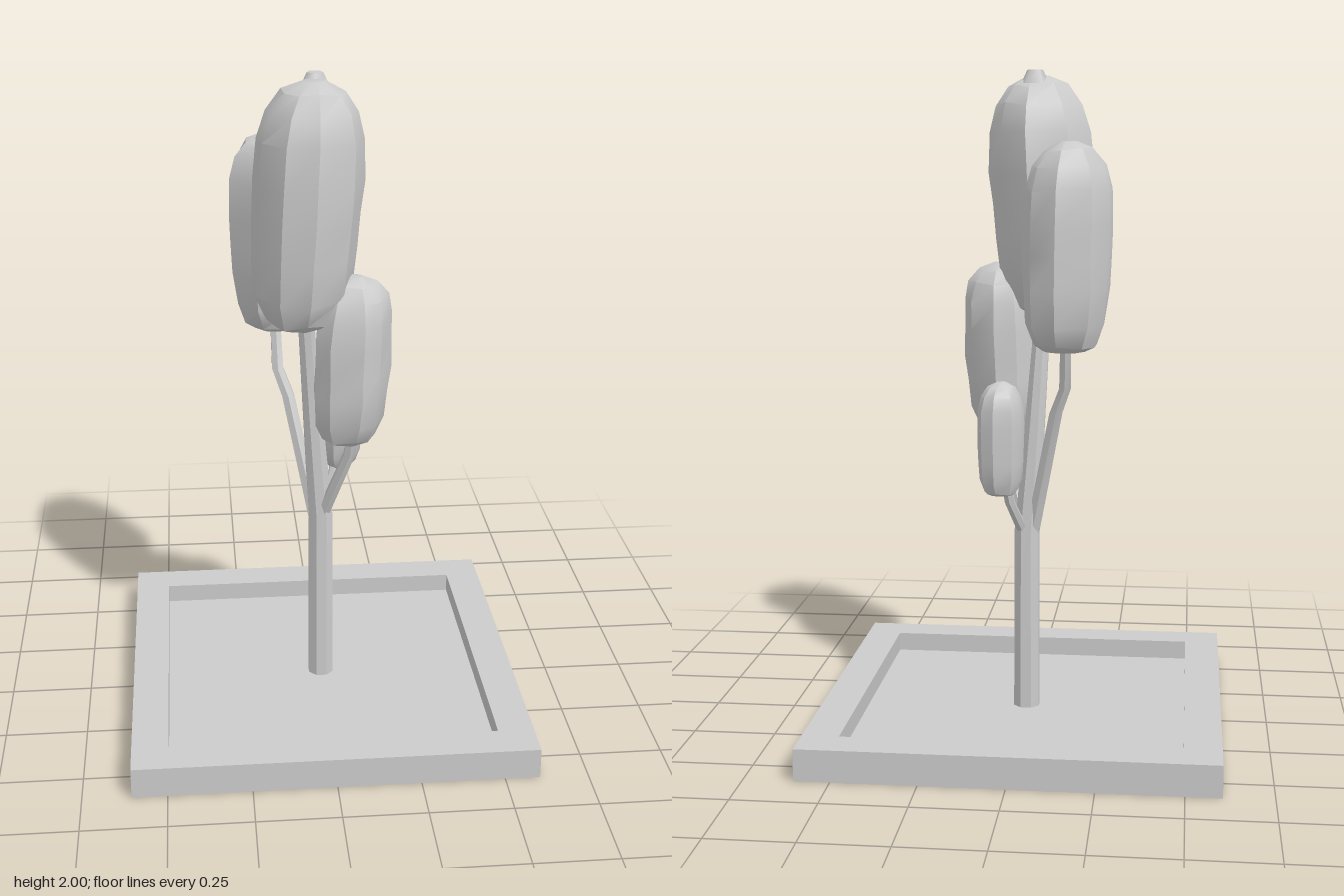
import * as THREE from 'three';
import { toCreasedNormals } from 'three/addons/utils/BufferGeometryUtils.js';

const material = new THREE.MeshStandardMaterial({ color: 0xcccccc, side: THREE.DoubleSide });

// small seeded generator, values in -1..1
function seeded(seed) {
  let s = seed;
  return () => {
    s = (s * 16807) % 2147483647;
    return (s / 2147483647) * 2 - 1;
  };
}

// skin over horizontal rings of points, capped at both ends
function loft(rings, crease) {
  const n = rings[0].length;
  const pos = [];
  const index = [];
  rings.forEach(ring => ring.forEach(p => pos.push(p.x, p.y, p.z)));
  for (let j = 0; j < rings.length - 1; j++) {
    for (let i = 0; i < n; i++) {
      const a = j * n + i, b = j * n + (i + 1) % n;
      index.push(a, a + n, b, b, a + n, b + n);
    }
  }
  const last = (rings.length - 1) * n;
  for (let i = 1; i < n - 1; i++) {
    index.push(0, i, i + 1);
    index.push(last, last + i + 1, last + i);
  }
  const g = new THREE.BufferGeometry();
  g.setAttribute('position', new THREE.Float32BufferAttribute(pos, 3));
  g.setIndex(index);
  return toCreasedNormals(g, crease);
}

// tapered limb through [x, y, z, radius] stations
function limb(stations, sides) {
  return loft(stations.map(([x, y, z, r]) =>
    Array.from({ length: sides }, (_, i) => {
      const a = ((i + 0.5) / sides) * Math.PI * 2;
      return new THREE.Vector3(x + r * Math.cos(a), y, z + r * Math.sin(a));
    })), 0.5);
}

// tall, blunt foliage clump: [height fraction, radius fraction]
const profile = [
  [0, 0.5], [0.03, 0.72], [0.13, 0.93], [0.3, 0.98], [0.45, 1], [0.6, 1.01],
  [0.77, 0.98], [0.88, 0.84], [0.96, 0.58], [1, 0.2],
];
function clump({ x, z, bottom, top, rx, rz, lean, seed }) {
  const rnd = seeded(seed);
  const sides = 9;
  const column = Array.from({ length: sides }, () => [rnd() * 0.13, 1 + rnd() * 0.06]);
  const rings = profile.map(([h, r], j) => {
    const inner = j > 0 && j < profile.length - 1;
    return column.map(([da, k], i) => {
      const a = (i / sides) * Math.PI * 2 + da;
      // an occasional chipped or swollen corner
      const chip = rnd() > 0.7 ? rnd() * 0.1 : 0;
      const f = r * k * (1 + chip);
      const y = bottom + (top - bottom) * (h + (inner ? rnd() * 0.012 : 0));
      return new THREE.Vector3(
        x + lean[0] * (h - 0.5) + rx * f * Math.cos(a), y,
        z + lean[1] * (h - 0.5) + rz * f * Math.sin(a));
    });
  });
  return loft(rings, 0.55);
}

function square(path, half) {
  path.moveTo(-half, -half);
  path.lineTo(half, -half);
  path.lineTo(half, half);
  path.lineTo(-half, half);
  path.closePath();
  return path;
}

export function createModel() {
  const model = new THREE.Group();
  const add = (name, geometry, parent = model) => {
    const mesh = new THREE.Mesh(geometry, material);
    mesh.name = name;
    parent.add(mesh);
    return mesh;
  };

  // square planter: hollow rim open underneath, with a sunken floor
  const planter = new THREE.Group();
  planter.name = 'planter';
  model.add(planter);
  const OUT = 0.605, IN = 0.495, RIM = 0.095, FLOOR = 0.035;
  const ring = square(new THREE.Shape(), OUT);
  ring.holes.push(square(new THREE.Path(), IN));
  add('rimTop', new THREE.ShapeGeometry(ring).rotateX(-Math.PI / 2).translate(0, RIM, 0), planter);
  for (let i = 0; i < 4; i++) {
    const a = (i * Math.PI) / 2;
    add('outerWall', new THREE.PlaneGeometry(2 * OUT, RIM)
      .translate(0, RIM / 2, OUT).rotateY(a), planter);
    add('innerWall', new THREE.PlaneGeometry(2 * IN, RIM - FLOOR)
      .rotateY(Math.PI).translate(0, (RIM + FLOOR) / 2, IN).rotateY(a), planter);
  }
  add('floor', new THREE.PlaneGeometry(2 * IN, 2 * IN)
    .rotateX(-Math.PI / 2).translate(0, FLOOR, 0), planter);

  // trunk and branches
  add('trunk', limb([
    [0, 0.03, 0, 0.042], [0, 0.6, 0, 0.04], [-0.025, 0.95, 0.01, 0.032],
    [-0.045, 1.25, 0.02, 0.026], [-0.045, 1.38, 0.04, 0.02],
  ], 8));
  const branches = {
    backBranch: [[-0.015, 0.58, 0, 0.024], [-0.095, 0.98, -0.07, 0.022],
      [-0.125, 1.06, -0.1, 0.02], [-0.13, 1.25, -0.15, 0.017]],
    frontBranch: [[0, 0.59, 0.005, 0.022], [0.08, 0.85, 0.1, 0.02], [0.09, 0.97, 0.125, 0.016]],
    lowBranch: [[0, 0.57, 0, 0.02], [0.045, 0.7, -0.07, 0.017], [0.06, 0.8, -0.09, 0.014]],
  };
  for (const [name, stations] of Object.entries(branches)) add(name, limb(stations, 6));

  // foliage clumps
  add('topFoliage', clump({ x: -0.045, z: 0.09, bottom: 1.27, top: 1.985, rx: 0.16, rz: 0.17, lean: [0.04, 0], seed: 11 }));
  add('backFoliage', clump({ x: -0.13, z: -0.15, bottom: 1.18, top: 1.79, rx: 0.13, rz: 0.12, lean: [-0.01, 0.01], seed: 47 }));
  add('frontFoliage', clump({ x: 0.08, z: 0.113, bottom: 0.9, top: 1.42, rx: 0.115, rz: 0.115, lean: [0.02, 0.01], seed: 83 }));
  add('lowFoliage', clump({ x: 0.068, z: -0.09, bottom: 0.73, top: 1.075, rx: 0.068, rz: 0.078, lean: [0, 0], seed: 129 }));
  // small tuft at the very top
  add('topTuft', new THREE.CylinderGeometry(0.025, 0.045, 0.04, 5)
    .toNonIndexed().translate(-0.02, 1.98, 0.04));

  return model;
}
